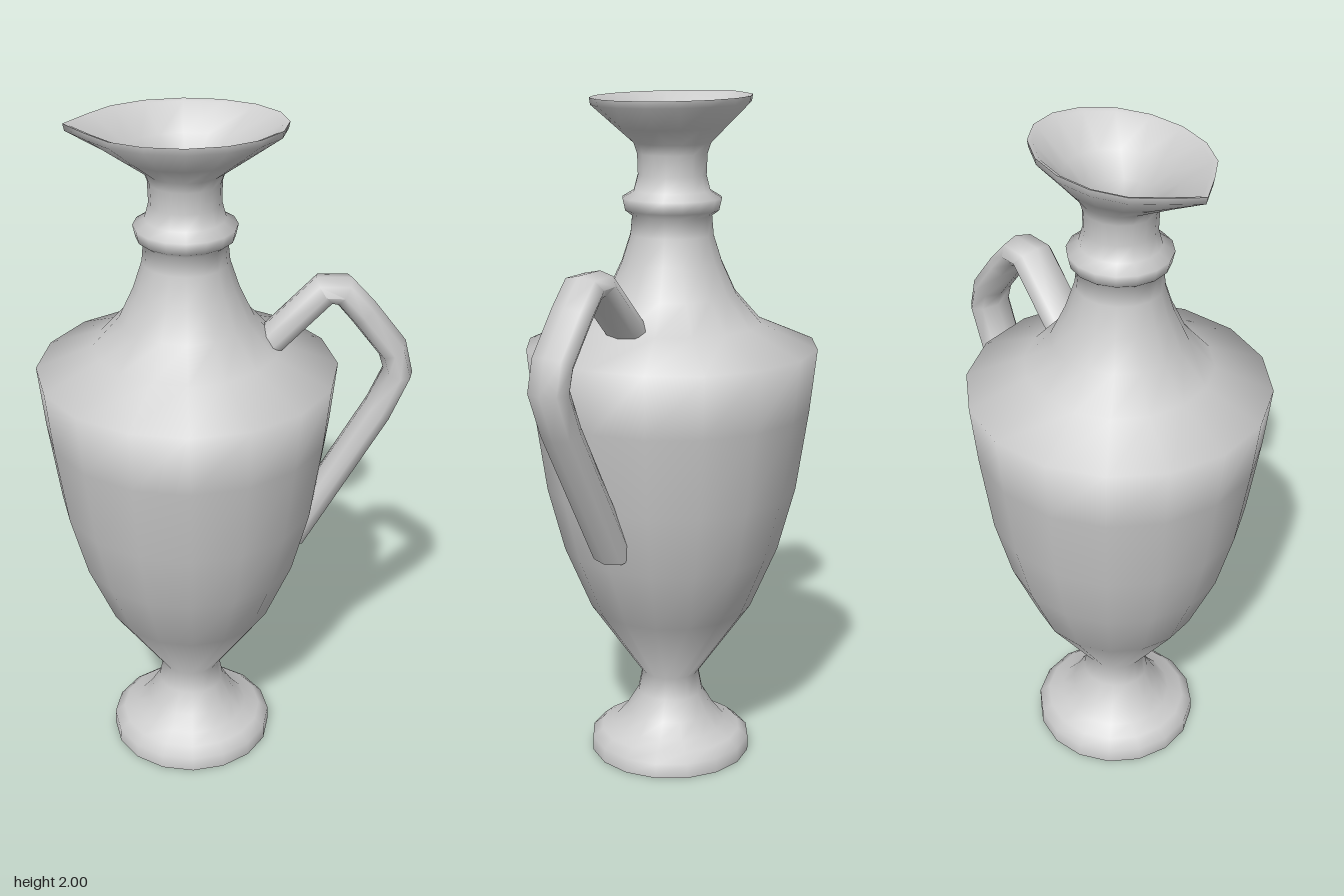
import * as THREE from 'three';
import { toCreasedNormals } from 'three/addons/utils/BufferGeometryUtils.js';

const AXIS_X = -0.11;
const SIDES = 16;

// Skins a list of equally sized point loops; optionally caps both ends.
function loft(rings, capped) {
  const n = rings[0].length, positions = [], index = [];
  rings.forEach(ring => ring.forEach(p => positions.push(p.x, p.y, p.z)));
  for (let i = 0; i < rings.length - 1; i++) {
    for (let j = 0; j < n; j++) {
      const a = i * n + j, b = i * n + (j + 1) % n, c = a + n, d = b + n;
      index.push(a, c, b, b, c, d);
    }
  }
  if (capped) {
    const last = (rings.length - 1) * n;
    for (let j = 1; j < n - 1; j++) {
      index.push(0, j, j + 1, last, last + j + 1, last + j);
    }
  }
  const geometry = new THREE.BufferGeometry();
  geometry.setAttribute('position', new THREE.Float32BufferAttribute(positions, 3));
  geometry.setIndex(index);
  return toCreasedNormals(geometry, 1.3);
}

// Horizontal loop: round for spout = 0, pulled into an oval pouring lip for spout = 1.
function vesselRing([radius, y, spout = 0]) {
  return Array.from({ length: SIDES }, (_, j) => {
    const a = j / SIDES * Math.PI * 2;
    let stretch = 1 + 0.333 * spout;
    if (j === SIDES / 2) stretch += 0.19 * spout;
    return new THREE.Vector3(AXIS_X + Math.cos(a) * radius * stretch, y, Math.sin(a) * radius);
  });
}

export function createModel() {
  const group = new THREE.Group();
  const material = new THREE.MeshStandardMaterial({ color: 0xcccccc, side: THREE.DoubleSide });
  const add = (name, geometry) => {
    const mesh = new THREE.Mesh(geometry, material);
    mesh.name = name;
    group.add(mesh);
  };

  // Profile entries: radius, height, amount of spout shape
  const foot = [[0.245, 0], [0.245, 0.045], [0.215, 0.07], [0.17, 0.088], [0.135, 0.13], [0.1, 0.19], [0.088, 0.255]];
  const body = [[0.245, 0.48], [0.325, 0.67], [0.375, 0.86], [0.41, 1.1], [0.43, 1.285], [0.265, 1.355], [0.19, 1.44], [0.148, 1.53], [0.122, 1.61]];
  const neck = [[0.117, 1.665], [0.137, 1.68], [0.145, 1.715], [0.112, 1.735], [0.1, 1.78], [0.102, 1.84], [0.112, 1.87]];
  const lip = [[0.15, 1.915, 0.6], [0.207, 1.98, 1], [0.21, 2, 1], [0.198, 1.995, 1], [0.14, 1.925, 0.6], [0.1, 1.865]];
  const inside = [[0.088, 1.8], [0.1, 1.65], [0.13, 1.53], [0.24, 1.35], [0.4, 1.27], [0.37, 1.05], [0.3, 0.67], [0.2, 0.45], [0.05, 0.3]];
  add('vessel', loft([...foot, ...body, ...neck, ...lip, ...inside].map(vesselRing), true));

  // Handle: flattened eight-sided section swept along a bent path
  const path = [[0.08, 1.32], [0.14, 1.38], [0.275, 1.518], [0.328, 1.515], [0.385, 1.45], [0.473, 1.335], [0.492, 1.262], [0.44, 1.14], [0.2, 0.72]]
    .map(([x, y]) => new THREE.Vector2(x, y));
  const rings = path.map((p, i) => {
    const before = path[Math.max(i - 1, 0)], after = path[Math.min(i + 1, path.length - 1)];
    const t = after.clone().sub(before).normalize();
    return Array.from({ length: 8 }, (_, j) => {
      const a = j / 8 * Math.PI * 2;
      const out = Math.cos(a) * 0.043, side = Math.sin(a) * 0.068;
      return new THREE.Vector3(p.x - t.y * out, p.y + t.x * out, -side);
    });
  });
  add('handle', loft(rings, true));

  return group;
}
